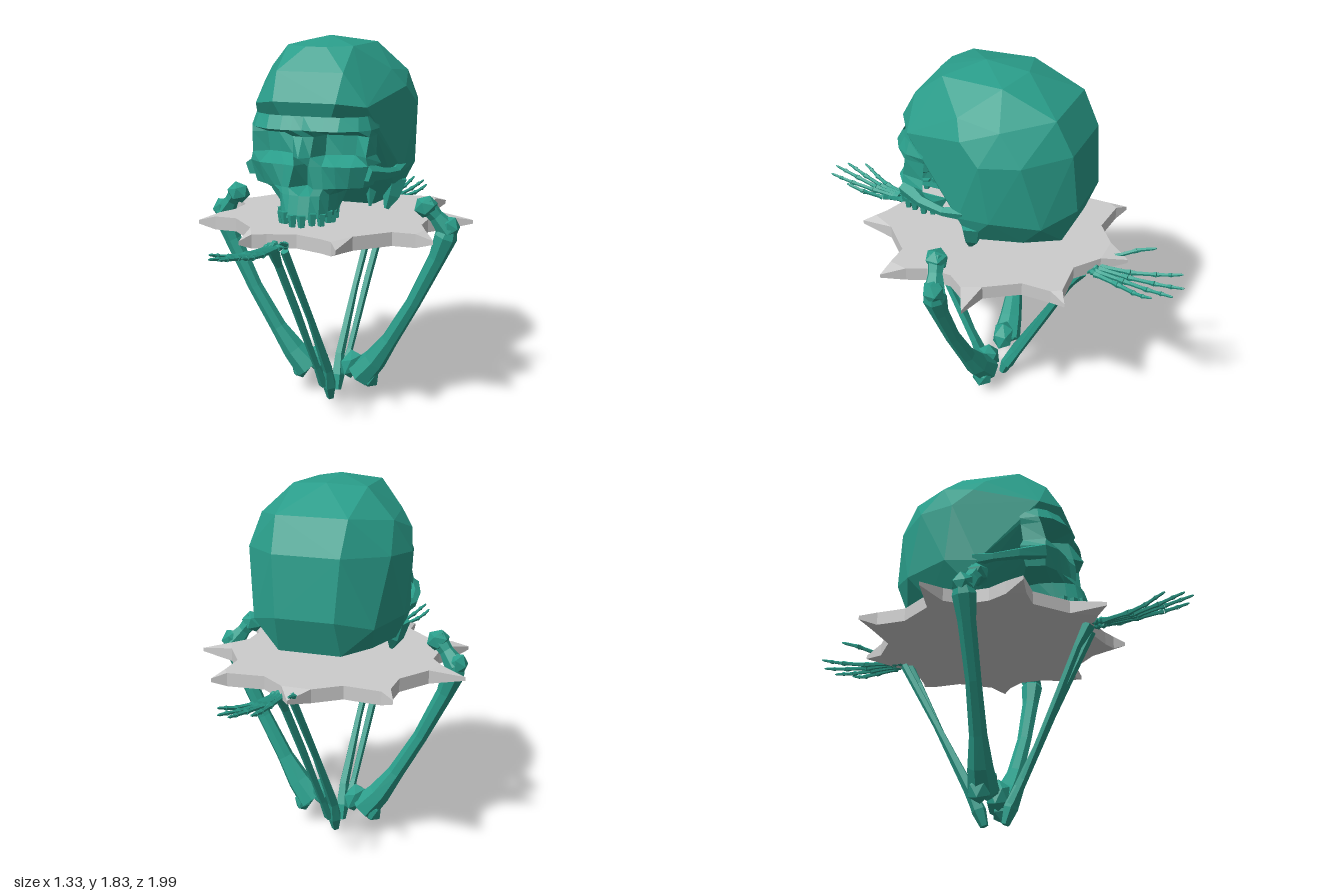
import * as THREE from 'three';
import { ConvexGeometry } from 'three/addons/geometries/ConvexGeometry.js';

const V = (p) => new THREE.Vector3(...p);
const boneMat = new THREE.MeshStandardMaterial({ color: 0x2a9d8a, flatShading: true, side: THREE.DoubleSide });
const plateMat = new THREE.MeshStandardMaterial({ color: 0xcccccc, flatShading: true });

function add(parent, name, geometry, material = boneMat) {
  const mesh = new THREE.Mesh(geometry, material);
  mesh.name = name;
  parent.add(mesh);
  return mesh;
}

// Capped loft: one ring of the given radius at each path point
function loft(path, radii, sides = 6) {
  const pts = path.map(V), pos = [], idx = [];
  pts.forEach((p, i) => {
    const t = pts[Math.min(i + 1, pts.length - 1)].clone().sub(pts[Math.max(i - 1, 0)]).normalize();
    const ref = Math.abs(t.z) > 0.8 ? V([0, 1, 0]) : V([0, 0, 1]);
    const u = ref.addScaledVector(t, -ref.dot(t)).normalize();
    const v = t.clone().cross(u);
    for (let j = 0; j < sides; j++) {
      const a = (j / sides) * Math.PI * 2;
      const q = p.clone().addScaledVector(u, Math.cos(a) * radii[i]).addScaledVector(v, Math.sin(a) * radii[i]);
      pos.push(q.x, q.y, q.z);
    }
  });
  const last = (pts.length - 1) * sides, c0 = pts.length * sides;
  for (const p of [pts[0], pts[pts.length - 1]]) pos.push(p.x, p.y, p.z);
  for (let j = 0; j < sides; j++) {
    const k = (j + 1) % sides;
    for (let r = 0; r < last; r += sides) idx.push(r + j, r + k, r + sides + k, r + j, r + sides + k, r + sides + j);
    idx.push(c0, k, j, c0 + 1, last + j, last + k);
  }
  const g = new THREE.BufferGeometry();
  g.setAttribute('position', new THREE.Float32BufferAttribute(pos, 3));
  g.setIndex(idx);
  g.computeVertexNormals();
  return g;
}

function lump(parent, name, [x, y, z], [sx, sy, sz], tilt = 0) {
  const mesh = add(parent, name, new THREE.IcosahedronGeometry(1, 0));
  mesh.position.set(x, y, z);
  mesh.scale.set(sx, sy, sz);
  mesh.rotation.z = tilt;
}

// Star-shaped plate with thinned spike tips
function makePlate(parent) {
  const half = [[0, -0.69], [0.07, -0.58], [0.19, -0.49], [0.37, -0.505], [0.434, -0.54], [0.4, -0.46], [0.4, -0.32],
    [0.5, -0.17], [0.667, -0.145], [0.54, -0.08], [0.48, 0], [0.48, 0.12], [0.52, 0.21], [0.585, 0.31], [0.5, 0.3],
    [0.39, 0.3], [0.25, 0.44], [0.23, 0.61], [0.19, 0.56], [0.13, 0.53], [0, 0.49]];
  const tips = [0, 4, 8, 13, 17].map((i) => half[i]);
  const outline = [...half, ...half.slice(1, -1).reverse().map(([x, z]) => [-x, z])];
  const shape = new THREE.Shape(outline.map(([x, z]) => new THREE.Vector2(x, -z)));
  const g = new THREE.ExtrudeGeometry(shape, { depth: 0.065, bevelEnabled: false });
  g.rotateX(-Math.PI / 2).translate(0, 0.905, 0);
  const p = g.attributes.position;
  for (let i = 0; i < p.count; i++) {
    const isTip = tips.some(([x, z]) => Math.hypot(Math.abs(p.getX(i)) - x, p.getZ(i) - z) < 0.001);
    if (isTip) p.setY(i, p.getY(i) > 0.93 ? 0.948 : 0.93);
  }
  g.computeVertexNormals();
  add(parent, 'starPlate', g, plateMat);
}

function makeSkull(parent) {
  const skull = new THREE.Group();
  skull.name = 'skull';
  parent.add(skull);

  // Cranium: faceted hull mirrored across x
  const half = [[0, 1.83, 0.04], [0.16, 1.79, 0.18], [0.18, 1.795, -0.12], [0, 1.81, -0.17], [0.05, 1.786, 0.235],
    [0.16, 1.68, 0.32], [0.3, 1.68, 0.04], [0.32, 1.66, -0.17], [0.17, 1.69, -0.37], [0.15, 1.55, 0.395],
    [0.27, 1.53, 0.31], [0.36, 1.6, 0], [0.39, 1.51, -0.1], [0.34, 1.52, -0.28], [0.16, 1.53, -0.45],
    [0.12, 1.48, 0.37], [0.28, 1.44, 0.25], [0.355, 1.2, 0.02], [0.37, 1.22, -0.14], [0.29, 1.2, -0.36],
    [0.14, 1.246, -0.475], [0.25, 1.08, -0.26], [0.15, 1.075, -0.41], [0.12, 1.015, -0.19], [0.32, 1.08, -0.02],
    [0.2, 1.02, -0.02]];
  const points = half.flatMap(([x, y, z]) => [V([x, y, z]), V([-x, y, z])]);
  add(skull, 'cranium', new ConvexGeometry(points));

  // Face: rows of [x, z] from the midline outwards, with sunken orbits and nose
  const rows = [
    [1.49, [0, 0.395], [0.05, 0.395], [0.1, 0.395], [0.17, 0.385], [0.24, 0.34], [0.27, 0.3], [0.29, 0.2]],
    [1.43, [0, 0.42], [0.05, 0.43], [0.1, 0.43], [0.17, 0.42], [0.25, 0.37], [0.29, 0.31], [0.3, 0.22]],
    [1.4, [0, 0.41], [0.05, 0.4], [0.08, 0.31], [0.16, 0.3], [0.22, 0.29], [0.285, 0.32], [0.29, 0.22]],
    [1.31, [0, 0.465], [0.04, 0.42], [0.08, 0.33], [0.15, 0.3], [0.21, 0.29], [0.275, 0.34], [0.29, 0.23]],
    [1.27, [0, 0.35], [0.035, 0.43], [0.09, 0.41], [0.15, 0.405], [0.22, 0.39], [0.285, 0.34], [0.31, 0.22]],
    [1.17, [0, 0.35], [0.06, 0.435], [0.1, 0.42], [0.15, 0.39], [0.2, 0.37], [0.26, 0.33], [0.28, 0.24]],
    [1.14, [0, 0.46], [0.05, 0.45], [0.09, 0.435], [0.12, 0.39], [0.14, 0.33], [0.15, 0.27], [0.14, 0.18]],
    [1.04, [0, 0.49], [0.05, 0.48], [0.09, 0.45], [0.115, 0.4], [0.125, 0.35], [0.125, 0.29], [0.11, 0.24]],
    [1.06, [0, 0.44], [0.02, 0.43], [0.03, 0.41], [0.03, 0.37], [0.03, 0.33], [0.03, 0.28], [0.03, 0.24]],
  ];
  const pos = [], idx = [], n = 13;
  for (const [y, ...r] of rows) {
    for (const [x, z] of r.slice(1).reverse()) pos.push(-x, y, z);
    for (const [x, z] of r) pos.push(x, y, z);
  }
  for (let r = 0; r < rows.length - 1; r++) {
    for (let c = 0; c < n - 1; c++) {
      const a = r * n + c, b = a + n;
      idx.push(a, b, b + 1, a, b + 1, a + 1);
    }
  }
  const face = new THREE.BufferGeometry();
  face.setAttribute('position', new THREE.Float32BufferAttribute(pos, 3));
  face.setIndex(idx);
  face.computeVertexNormals();
  add(skull, 'face', face);

  for (const s of [-1, 1]) {
    // Cheek arch, lower ear bone and a row of teeth per side
    add(skull, 'cheekArch', loft([[0.27 * s, 1.24, 0.33], [0.325 * s, 1.22, 0.22], [0.345 * s, 1.21, 0.1], [0.33 * s, 1.22, 0]],
      [0.045, 0.028, 0.022, 0.035], 5));
    add(skull, 'earBone', loft([[0.31 * s, 1.16, -0.03], [0.29 * s, 1.07, -0.02], [0.27 * s, 1.005, 0]], [0.06, 0.045, 0.012], 5));
    add(skull, 'innerSpur', loft([[0.2 * s, 1.12, 0.02], [0.2 * s, 1.02, 0.04]], [0.035, 0.006], 4));
    [[0.022, 0.482], [0.065, 0.462], [0.095, 0.425], [0.112, 0.38], [0.115, 0.33], [0.112, 0.28]].forEach(([x, z], i) => {
      const tooth = add(skull, 'tooth', new THREE.CylinderGeometry(0.023, 0.016, 0.055, 5));
      tooth.position.set(x * s, 1.03 + (i % 2) * 0.008, z);
    });
  }
}

// Thigh bone leaning outwards from the foot of the stand
function makeThighBone(parent, s) {
  const g = new THREE.Group();
  g.name = s > 0 ? 'leftThighBone' : 'rightThighBone';
  parent.add(g);
  const m = (x, y, z) => [s * x, y, z];
  add(g, 'shaft', loft([m(0.6, 0.97, 0.03), m(0.575, 0.9, 0.035), m(0.535, 0.79, 0.035), m(0.42, 0.55, 0.03),
    m(0.3, 0.34, 0.015), m(0.22, 0.22, 0), m(0.14, 0.13, -0.01)], [0.03, 0.057, 0.043, 0.037, 0.042, 0.06, 0.075], 7));
  add(g, 'neck', loft([m(0.585, 0.93, 0.03), m(0.53, 1.0, 0.05), m(0.48, 1.06, 0.065)], [0.055, 0.035, 0.045], 6));
  lump(g, 'head', m(0.485, 1.045, 0.065), [0.06, 0.055, 0.058], 0.3 * s);
  lump(g, 'hipKnob', m(0.59, 0.945, 0.03), [0.055, 0.06, 0.055]);
  lump(g, 'innerKnuckle', m(0.09, 0.175, -0.01), [0.055, 0.085, 0.06], -0.4 * s);
  lump(g, 'outerKnuckle', m(0.185, 0.125, -0.015), [0.05, 0.07, 0.06], 0.3 * s);
}

// Forearm with an open hand, palm up, reaching towards +z
function makeArm(parent, name, turn) {
  const arm = new THREE.Group();
  arm.name = name;
  arm.rotation.y = turn;
  parent.add(arm);
  add(arm, 'outerForearmBone', loft([[-0.02, 0.09, 0.09], [-0.035, 0.2, 0.15], [-0.075, 0.55, 0.32], [-0.11, 0.8, 0.44], [-0.115, 0.9, 0.5]],
    [0.028, 0.017, 0.02, 0.02, 0.033], 5));
  add(arm, 'innerForearmBone', loft([[0, 0.005, 0.05], [0.005, 0.08, 0.075], [0.01, 0.18, 0.115], [-0.015, 0.5, 0.285], [-0.055, 0.89, 0.5]],
    [0.02, 0.036, 0.026, 0.018, 0.02], 5));
  for (let i = 0; i < 7; i++) {
    const x = -0.115 + (i % 4) * 0.025, z = i < 4 ? 0.53 : 0.56;
    lump(arm, 'wristBone', [x, 0.915 + (i % 2) * 0.012, z], [0.018, 0.02, 0.02], i);
  }
  // Each digit: x,y,z of its joints, with knobbly ends on every bone
  const digits = [
    [[-0.12, 0.91, 0.57], [-0.16, 0.915, 0.7], [-0.2, 0.925, 0.785], [-0.225, 0.94, 0.835], [-0.24, 0.955, 0.88]],
    [[-0.105, 0.915, 0.57], [-0.13, 0.92, 0.72], [-0.165, 0.935, 0.84], [-0.185, 0.95, 0.91], [-0.2, 0.96, 0.965]],
    [[-0.085, 0.92, 0.58], [-0.1, 0.925, 0.73], [-0.12, 0.945, 0.86], [-0.13, 0.96, 0.94], [-0.135, 0.972, 0.998]],
    [[-0.065, 0.92, 0.58], [-0.065, 0.93, 0.73], [-0.055, 0.95, 0.85], [-0.05, 0.965, 0.915], [-0.045, 0.98, 0.968]],
    [[-0.05, 0.925, 0.55], [0.005, 0.95, 0.63], [0.045, 0.985, 0.72], [0.055, 1.015, 0.81]],
  ];
  for (const joints of digits) {
    for (let i = 0; i < joints.length - 1; i++) {
      const [a, b] = [V(joints[i]), V(joints[i + 1])];
      const k = 1 - i * 0.13, tip = i === joints.length - 2;
      const path = [0, 0.2, 0.75, 0.97].map((t) => a.clone().lerp(b, t).toArray());
      add(arm, 'fingerBone', loft(path, [0.017, 0.012, 0.011, tip ? 0.005 : 0.016].map((r) => r * k), 5));
    }
  }
}

export function createModel() {
  const model = new THREE.Group();
  model.name = 'skullTable';
  makePlate(model);
  makeSkull(model);
  for (const s of [-1, 1]) makeThighBone(model, s);
  makeArm(model, 'frontArm', 0);
  makeArm(model, 'backArm', Math.PI);
  return model;
}
